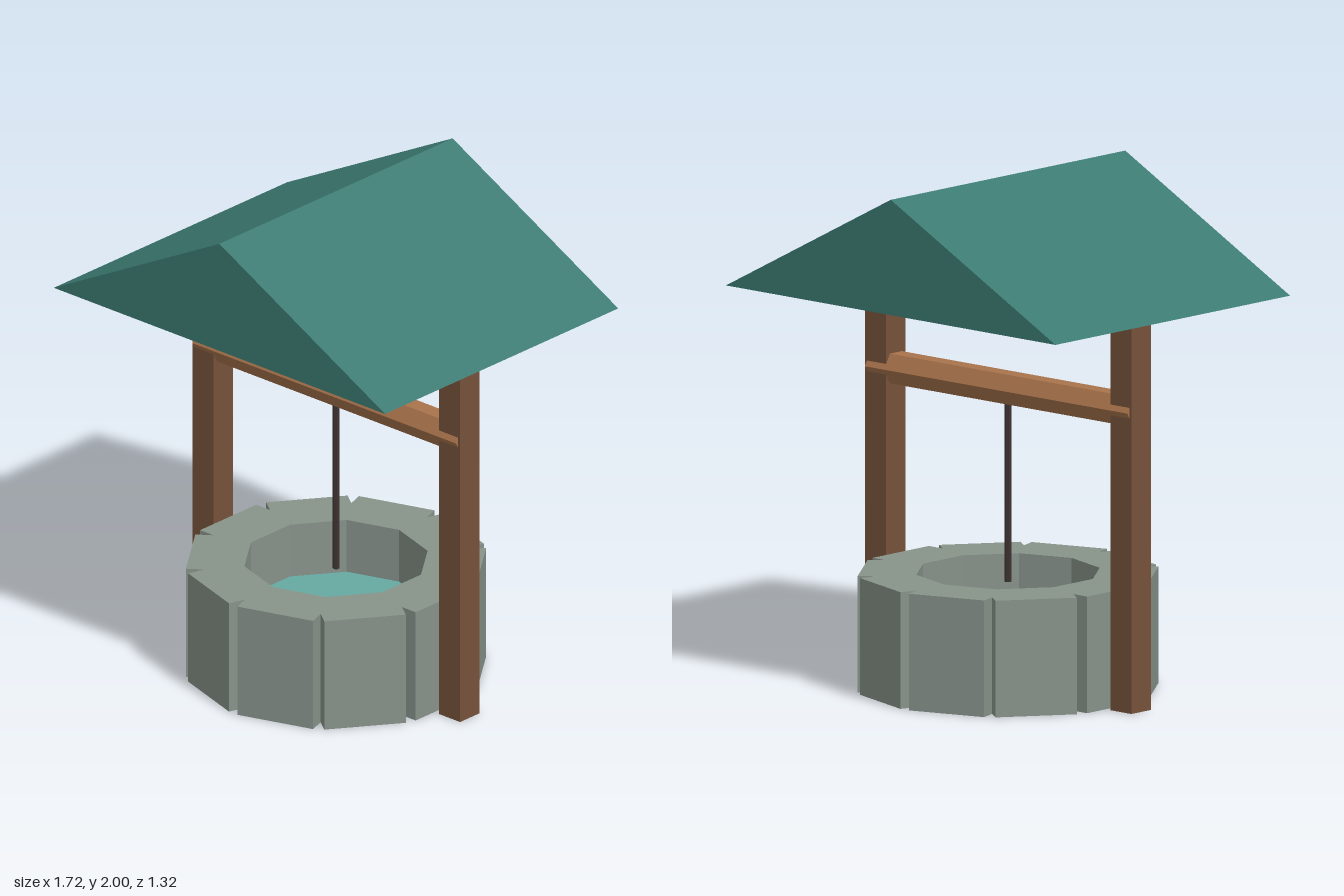
import * as THREE from 'three';

const mat = (color) => new THREE.MeshStandardMaterial({ color, flatShading: true });
const STONE = mat(0x87938a), WOOD = mat(0x75523b), BEAM = mat(0xa8734b);
const ROOF = mat(0x3c7a72), ROPE = mat(0x3d3232), WATER = mat(0x66a8a2);

export function createModel() {
  const model = new THREE.Group();
  model.name = 'well';

  const add = (name, geometry, material, x = 0, y = 0, z = 0, parent = model) => {
    const mesh = new THREE.Mesh(geometry, material);
    mesh.name = name;
    mesh.position.set(x, y, z);
    parent.add(mesh);
    return mesh;
  };

  // Ring of ten stone blocks: they overlap inside and leave V-shaped gaps outside
  const wall = new THREE.Group();
  wall.name = 'stoneWall';
  model.add(wall);
  const count = 10, ringRadius = 0.45, height = 0.455;
  const block = new THREE.BoxGeometry(0.318, height, 0.22);
  for (let i = 0; i < count; i++) {
    const a = ((i + 0.5) / count) * Math.PI * 2;
    const stone = add('stone', block, STONE,
      Math.sin(a) * ringRadius, height / 2, Math.cos(a) * ringRadius, wall);
    stone.rotation.y = a;
  }

  // Water disc inside the wall
  add('water', new THREE.CylinderGeometry(0.37, 0.37, 0.025, 20), WATER, 0, 0.225, 0);

  // Posts
  const post = new THREE.BoxGeometry(0.11, 1.55, 0.11);
  add('leftPost', post, WOOD, 0.64, 0.775, 0);
  add('rightPost', post, WOOD, -0.64, 0.775, 0);

  // Six-sided winding beam, its edges poking out of the posts
  add('beam', new THREE.CylinderGeometry(0.067, 0.067, 1.37, 6).rotateZ(Math.PI / 2),
    BEAM, 0, 1.172, 0);

  // Rope hanging from the beam
  add('rope', new THREE.CylinderGeometry(0.014, 0.014, 0.75, 6), ROPE, 0, 0.79, 0);

  // Gabled roof, a solid triangular prism
  const gable = new THREE.Shape([
    new THREE.Vector2(-0.86, 0),
    new THREE.Vector2(0.86, 0),
    new THREE.Vector2(0, 0.45),
  ]);
  add('roof', new THREE.ExtrudeGeometry(gable, { depth: 1.32, bevelEnabled: false }),
    ROOF, 0, 1.55, -0.66);

  return model;
}
